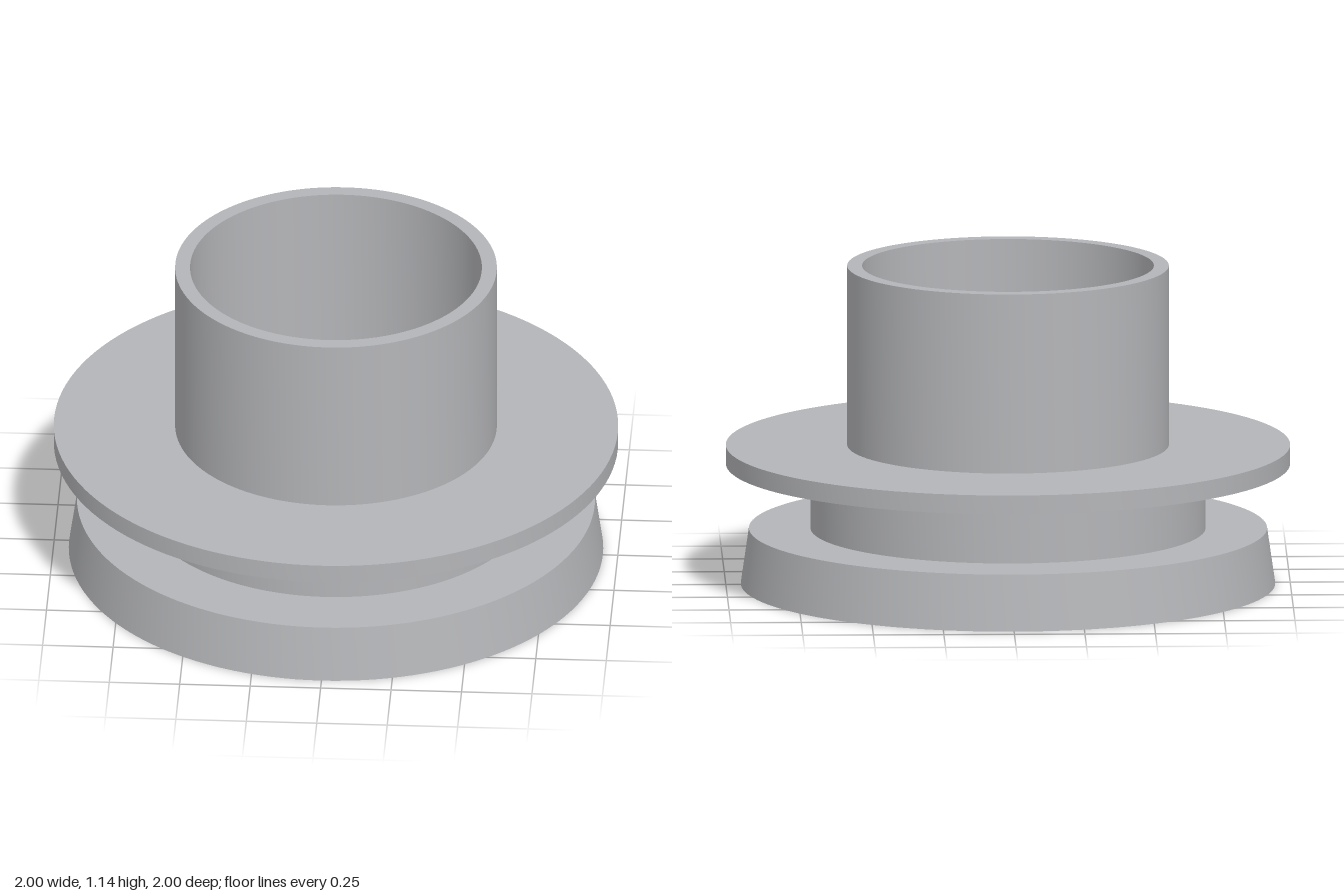
import * as THREE from 'three';
import { toCreasedNormals } from 'three/addons/utils/BufferGeometryUtils.js';

const SEGMENTS = 128;
const BORE = 0.2, HUB = 0.228, CUP = 0.517;

// Closed ring of revolution; profile is [radius, y], counterclockwise
function ring(name, profile, material) {
  const points = [...profile, profile[0]].map(([r, y]) => new THREE.Vector2(r, y));
  const geometry = toCreasedNormals(new THREE.LatheGeometry(points, SEGMENTS), 0.12);
  const mesh = new THREE.Mesh(geometry, material);
  mesh.name = name;
  return mesh;
}

const tube = (inner, outer, bottom, top) =>
  [[inner, bottom], [outer, bottom], [outer, top], [inner, top]];

// Flat ring with rounded teeth pointing at the bore
function toothedRing() {
  const outer = 0.57, inner = 0.32, slotEnd = 0.51, half = 0.023, round = 0.03;
  const teeth = 16, step = (Math.PI * 2) / teeth;
  const shape = new THREE.Shape().absarc(0, 0, outer, 0, Math.PI * 2, false);
  const hole = new THREE.Path();
  for (let i = 0; i < teeth; i++) {
    const angle = (i + 0.5) * step;
    const c = Math.cos(angle), s = Math.sin(angle);
    const at = (u, v) => [u * c - v * s, u * s + v * c];
    const turn = (half + round) / inner;
    const tip = (a) => [inner * Math.cos(a), inner * Math.sin(a)];
    // Tooth tip, slot side, round slot end, other side, next tooth tip
    if (i === 0) hole.moveTo(...tip(angle - turn));
    else hole.lineTo(...tip(angle - turn));
    hole.quadraticCurveTo(...at(inner, -half), ...at(inner + round, -half));
    hole.lineTo(...at(slotEnd, -half));
    hole.absarc(...at(slotEnd, 0), half, angle - Math.PI / 2, angle + Math.PI / 2, false);
    hole.lineTo(...at(inner + round, half));
    hole.quadraticCurveTo(...at(inner, half), ...tip(angle + turn));
  }
  hole.closePath();
  shape.holes.push(hole);
  return new THREE.ExtrudeGeometry(shape, { depth: 0.004, bevelEnabled: false, curveSegments: 8 * 8 })
    .rotateX(Math.PI / 2);
}

export function createModel() {
  const metal = new THREE.MeshStandardMaterial({ color: 0xb4b5b8 });
  metal.name = 'grey metal';
  const red = new THREE.MeshStandardMaterial({ color: 0xb86c6c });
  red.name = 'dull red';

  const model = new THREE.Group();
  model.name = 'flangedHub';

  // Flared base, recessed underneath
  model.add(ring('flaredBase', [
    [BORE, 0.1], [0.912, 0.1], [0.926, 0], [0.947, 0], [0.918, 0.2], [BORE, 0.2],
  ], metal));
  model.add(ring('drum', tube(CUP, 0.7, 0.2, 0.432), metal));
  model.add(ring('flange', tube(CUP, 1, 0.432, 0.5), metal));
  model.add(ring('collar', tube(CUP, 0.57, 0.5, 1.145), metal));
  // Inner tube standing on the cup floor
  model.add(ring('boreTube', tube(BORE, HUB, 0.2, 0.5), metal));

  // Toothed inlay under the base
  const inlay = new THREE.Mesh(toothedRing(), red);
  inlay.name = 'toothedInlay';
  inlay.position.y = 0.1;
  model.add(inlay);

  return model;
}
